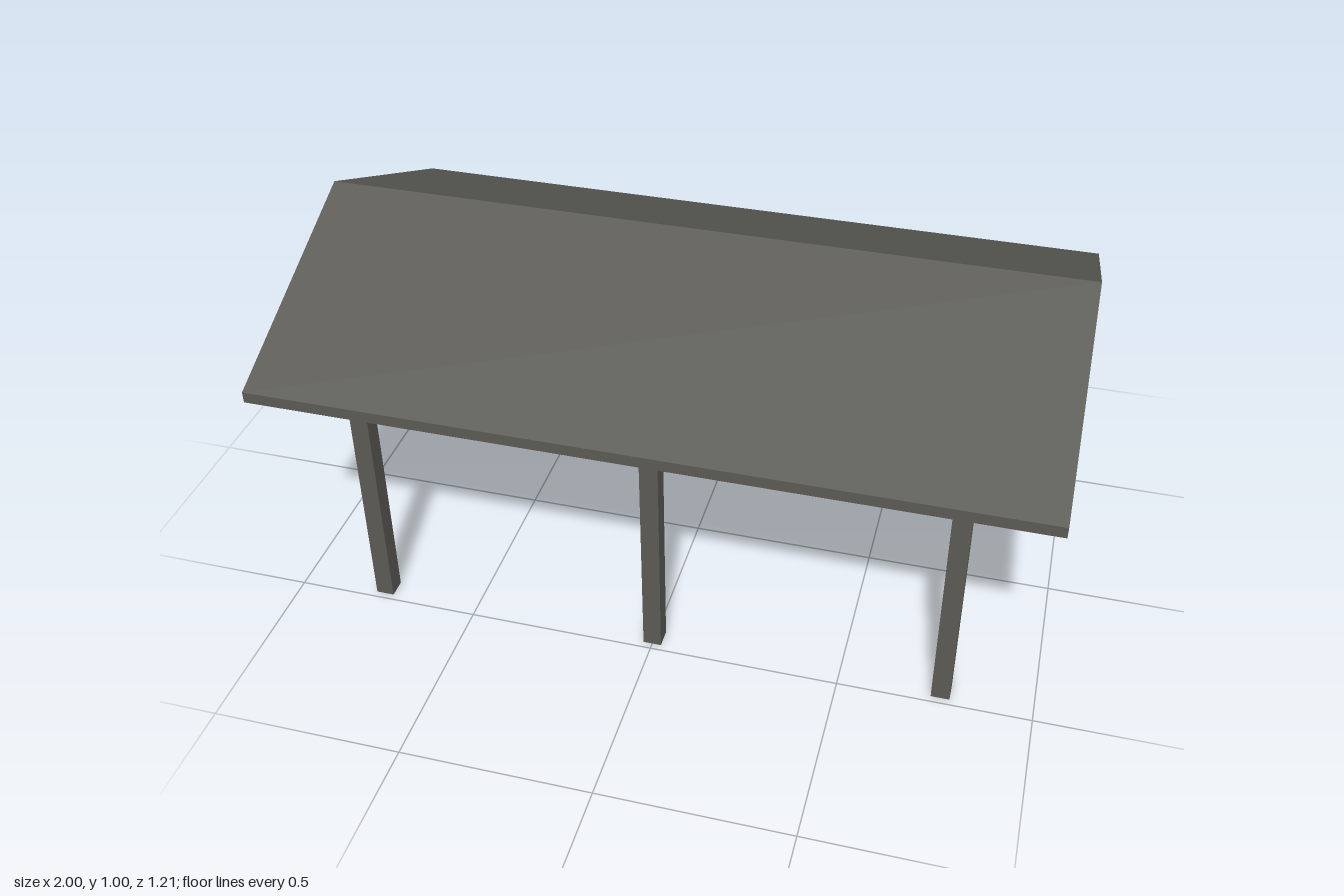
import * as THREE from 'three';

const timber = new THREE.MeshStandardMaterial({ color: 0x5b5a54 });
timber.name = 'dark grey timber';

const frameX = [-0.765, 0, 0.765]; // positions of the three frames
const slope = 0.446;
const under = 0.965; // underside of the roof at the ridge
const roofY = (z) => under - slope * Math.abs(z);

export function createModel() {
  const group = new THREE.Group();
  group.name = 'openShelter';

  const add = (name, geometry) => {
    const mesh = new THREE.Mesh(geometry, timber);
    mesh.name = name;
    group.add(mesh);
    return mesh;
  };

  // Box given by its lower and upper corners
  const block = (name, x0, x1, y0, y1, z0, z1) =>
    add(name, new THREE.BoxGeometry(x1 - x0, y1 - y0, z1 - z0))
      .position.set((x0 + x1) / 2, (y0 + y1) / 2, (z0 + z1) / 2);

  // Extrudes a [z, y] outline along x, centred on x = 0
  const beam = (name, outline, length) => {
    const shape = new THREE.Shape(outline.map(([z, y]) => new THREE.Vector2(-z, y)));
    const geometry = new THREE.ExtrudeGeometry(shape, { depth: length, bevelEnabled: false });
    geometry.translate(0, 0, -length / 2);
    geometry.rotateY(Math.PI / 2);
    add(name, geometry);
  };

  // Gabled roof sheet with plumb-cut eaves
  const eave = 0.605, thick = 0.03;
  beam('roof', [
    [eave, roofY(eave)], [0, under], [-eave, roofY(eave)],
    [-eave, roofY(eave) + thick], [0, under + thick], [eave, roofY(eave) + thick],
  ], 2);

  // Ridge beam, its top cut to the roof pitch
  beam('ridgeBeam', [
    [0.018, 0.9], [-0.018, 0.9], [-0.018, roofY(0.018)], [0, under], [0.018, roofY(0.018)],
  ], 1.78);

  // Wall plates, bevelled to meet the roof
  for (const s of [1, -1]) {
    const a = s * 0.432, b = s * 0.482;
    beam('wallPlate', [[a, 0.692], [b, 0.692], [b, roofY(b)], [a, roofY(a)]], 1.78);
  }

  // Frames: two posts, a tie beam and a king post each
  for (const x of frameX) {
    for (const s of [1, -1]) {
      const z = s * 0.457;
      block('post', x - 0.024, x + 0.024, 0, 0.692, z - 0.025, z + 0.025);
    }
    block('tieBeam', x - 0.02, x + 0.02, 0.65, 0.691, -0.485, 0.485);
    block('kingPost', x - 0.018, x + 0.018, 0.691, 0.9, -0.018, 0.018);
  }

  return group;
}
